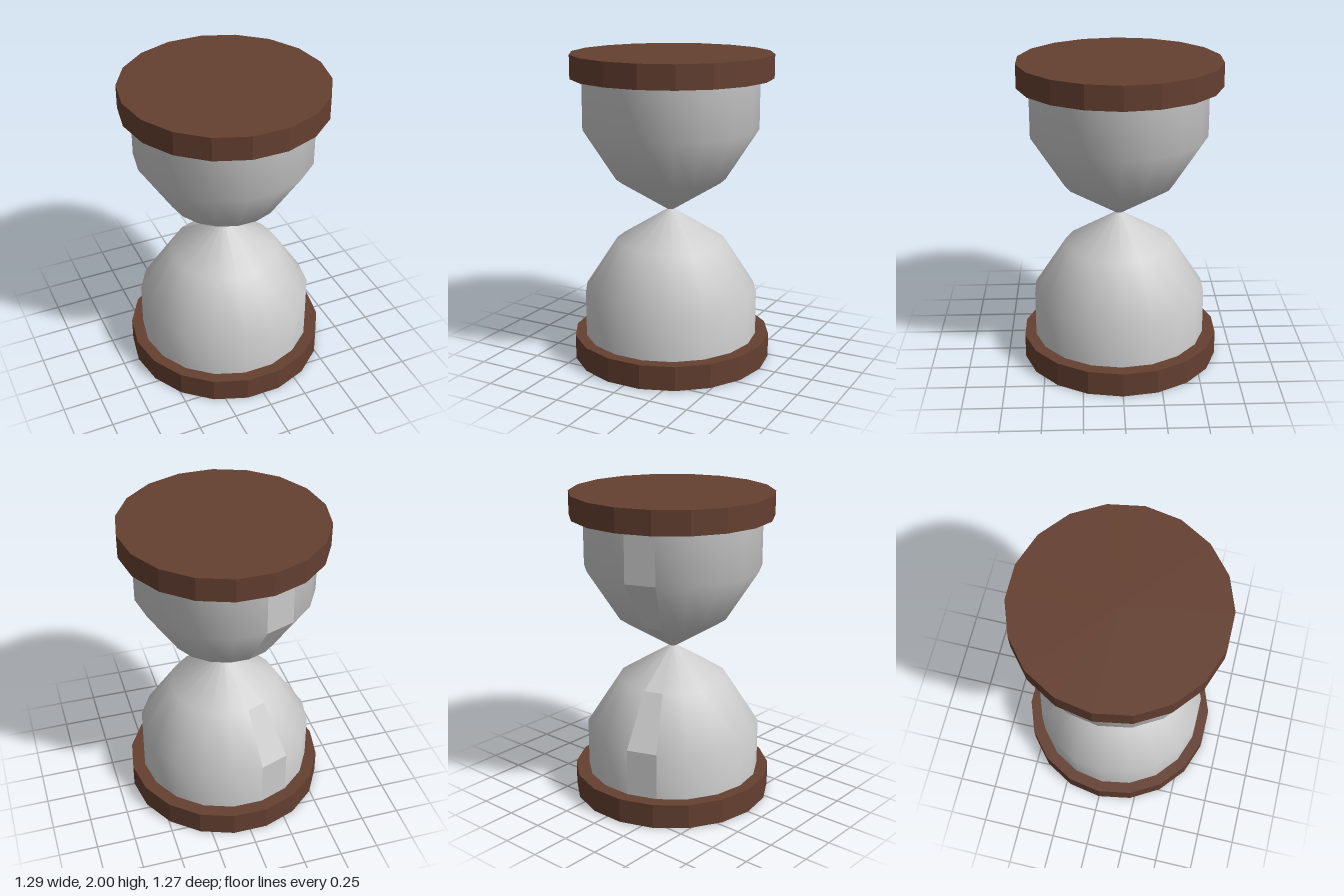
import * as THREE from 'three';

const SIDES = 18;
const STEP = (Math.PI * 2) / SIDES;

export function createModel() {
  const model = new THREE.Group();
  model.name = 'hourglass';
  const wood = new THREE.MeshStandardMaterial({ color: 0x643f30, flatShading: true });
  const glass = new THREE.MeshStandardMaterial({ color: 0xcccccc, side: THREE.DoubleSide });

  // End discs, with a corner on the x axis
  const addDisc = (name, bottom, top) => {
    const geometry = new THREE.CylinderGeometry(0.645, 0.645, top - bottom, SIDES, 1, false, Math.PI / 2);
    const disc = new THREE.Mesh(geometry, wood);
    disc.name = name;
    disc.position.y = (bottom + top) / 2;
    model.add(disc);
  };
  addDisc('baseDisc', 0.002, 0.16);
  addDisc('topDisc', 1.85, 2);

  // Each bulb is a smooth shell closed by one flat strip at the back
  const addBulb = (name, profile) => {
    const points = profile.map(([r, y]) => new THREE.Vector2(r, y));
    const seam = Math.PI + STEP / 2;
    const shell = new THREE.LatheGeometry(points, SIDES - 1, seam + STEP, Math.PI * 2 - STEP);
    const strip = new THREE.LatheGeometry(points, 1, seam, STEP).toNonIndexed();
    strip.computeVertexNormals();

    const bulb = new THREE.Group();
    bulb.name = name;
    for (const [part, geometry] of [['Shell', shell], ['SeamStrip', strip]]) {
      const mesh = new THREE.Mesh(geometry, glass);
      mesh.name = name + part;
      bulb.add(mesh);
    }
    bulb.position.set(-0.005, 0, 0.005);
    model.add(bulb);
  };
  // The lower bulb runs through the base and shows as a thin rim underneath
  addBulb('lowerBulb', [[0.55, 0], [0.565, 0], [0.565, 0.46], [0.355, 0.785], [0.022, 0.993]]);
  addBulb('upperBulb', [[0.022, 0.993], [0.355, 1.2], [0.565, 1.53], [0.565, 1.98]]);

  return model;
}
